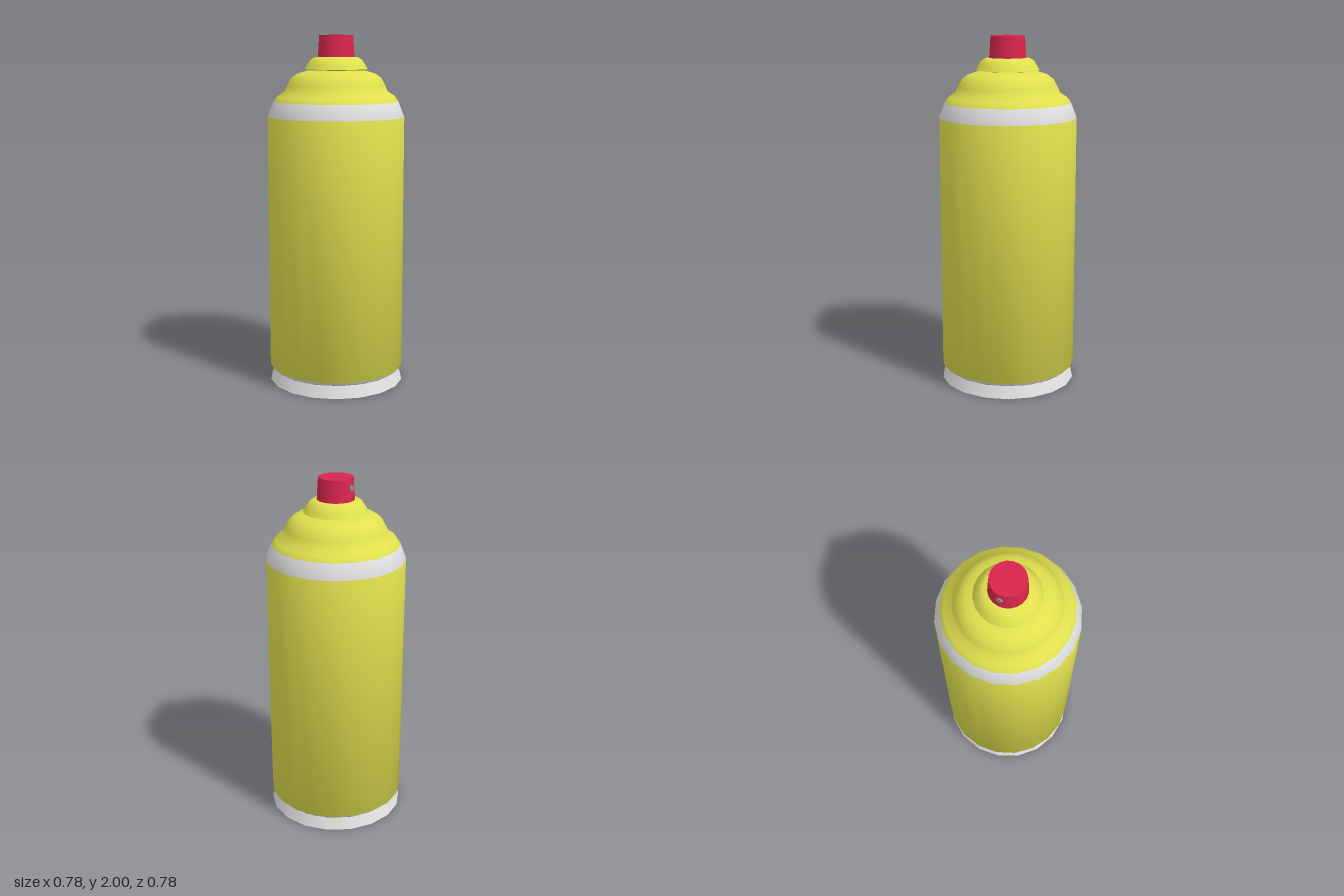
import * as THREE from 'three';

const yellow = new THREE.MeshStandardMaterial({ color: 0xe0e04e });
yellow.name = 'yellow paint';
const white = new THREE.MeshStandardMaterial({ color: 0xe0e0e0 });
white.name = 'pale metal';
const red = new THREE.MeshStandardMaterial({ color: 0xd9254d });
red.name = 'red plastic';
const grey = new THREE.MeshStandardMaterial({ color: 0x8c8c8c });
grey.name = 'grey nozzle';

// Turned part with evenly weighted smooth normals, one material per profile band
function turned(name, profile, bands, sides) {
  const pts = profile.map(([r, y]) => new THREE.Vector2(r, y));
  const geo = new THREE.LatheGeometry(pts, sides, Math.PI / 2);
  const edges = pts.slice(1).map((p, j) => new THREE.Vector2(p.y - pts[j].y, pts[j].x - p.x).normalize());
  const n = pts.length;
  for (let i = 0; i <= sides; i++) {
    const phi = Math.PI / 2 + (i / sides) * Math.PI * 2;
    for (let j = 0; j < n; j++) {
      const v = (edges[j - 1] || edges[0]).clone().add(edges[j] || edges[n - 2]).normalize();
      geo.attributes.normal.setXYZ(i * n + j, v.x * Math.sin(phi), v.y, v.x * Math.cos(phi));
    }
  }
  // Reorder the faces band by band so each band can form a material group
  const old = Array.from(geo.index.array);
  const sorted = [];
  const materials = [...new Set(bands)];
  for (let j = 0; j < n - 1; j++) {
    const start = sorted.length;
    for (let i = 0; i < sides; i++) {
      const k = (i * (n - 1) + j) * 6;
      sorted.push(...old.slice(k, k + 6));
    }
    geo.addGroup(start, sides * 6, materials.indexOf(bands[j]));
  }
  geo.setIndex(sorted);
  const mesh = new THREE.Mesh(geo, materials);
  mesh.name = name;
  return mesh;
}

export function createModel() {
  const can = new THREE.Group();
  can.name = 'sprayCan';

  // Flared foot and closed underside
  can.add(turned('baseRing', [[0.39, 0], [0.365, 0.068]], [white], 18));
  const bottom = new THREE.Mesh(new THREE.CircleGeometry(0.39, 18), white);
  bottom.rotation.x = Math.PI / 2;
  bottom.name = 'bottom';
  can.add(bottom);

  // Body, pale shoulder band and domed top
  const body = [
    [0.365, 0.068], [0.39, 0.09], [0.39, 1.545], [0.357, 1.63], [0.335, 1.66],
    [0.295, 1.685], [0.28, 1.72], [0.258, 1.76], [0.225, 1.785], [0.175, 1.8], [0.12, 1.805],
  ];
  const bands = body.slice(1).map((p, j) => (j === 0 || j === 2 ? white : yellow));
  can.add(turned('body', body, bands, 20));

  // Valve collar with a sharp lower lip
  const collar = [[0.18, 1.81], [0.165, 1.835], [0.148, 1.862], [0.125, 1.876], [0.08, 1.88]];
  can.add(turned('collar', collar, collar.slice(1).map(() => yellow), 20));
  can.add(turned('collarUnderside', [[0.12, 1.803], [0.18, 1.81]], [yellow], 20));

  // Push button
  const button = new THREE.Mesh(new THREE.CylinderGeometry(0.096, 0.104, 0.122, 20), red);
  button.position.y = 1.939;
  button.name = 'sprayButton';
  can.add(button);

  // Small outlet on the side of the button
  const outlet = new THREE.Mesh(new THREE.CylinderGeometry(0.018, 0.018, 0.012, 10), grey);
  outlet.rotation.z = Math.PI / 2;
  outlet.position.set(-0.098, 1.95, 0.008);
  outlet.name = 'nozzleOutlet';
  can.add(outlet);

  return can;
}
